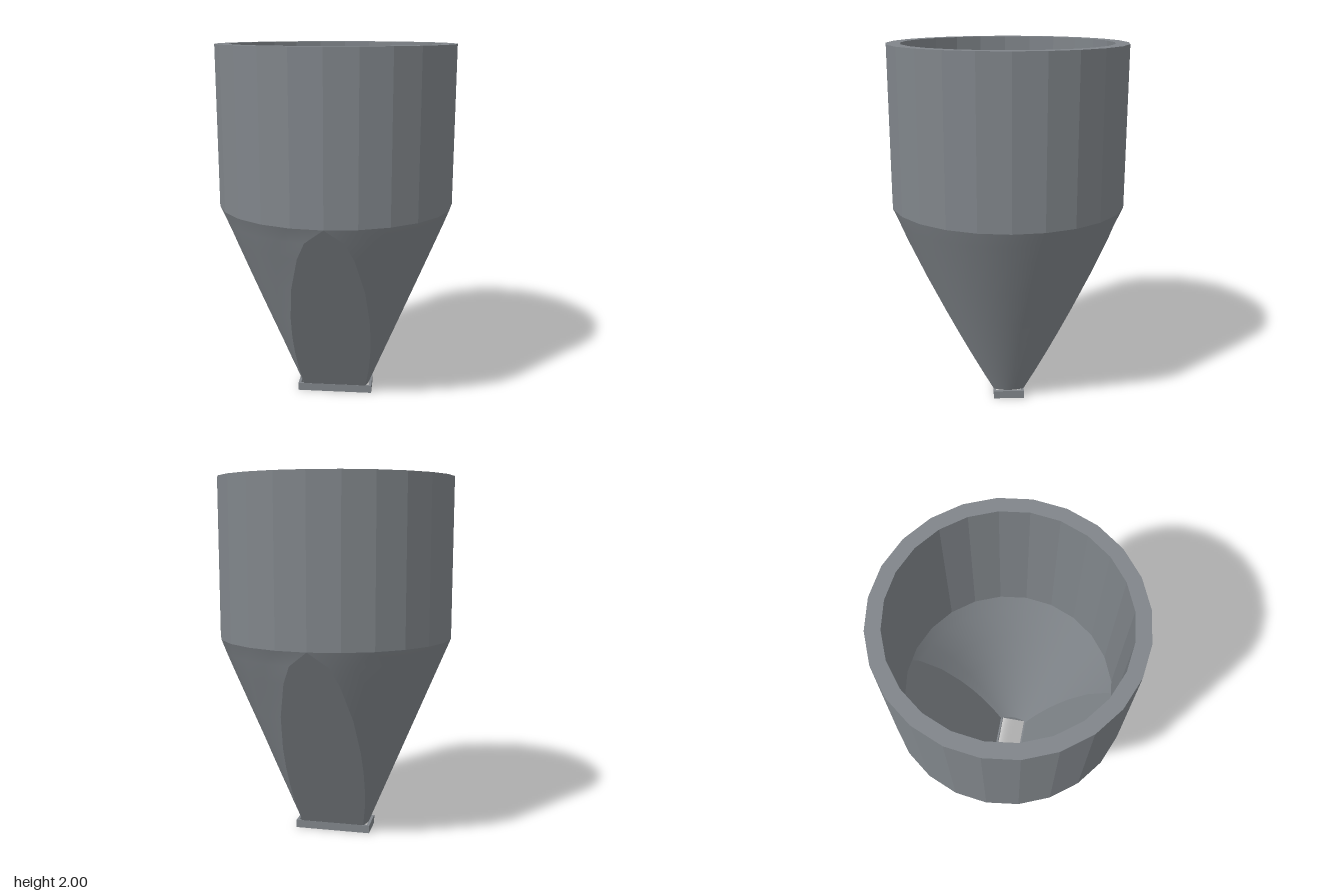
import * as THREE from 'three';

const TOP = 2, SHOULDER = 1.13, NECK = 0.045;
const R = 0.648, WALL = 0.075;
const NECK_R = 0.2, NECK_Z = 0.086;

// Cross-section of the hopper: a circle cut off by two sloping planes
const lerp = THREE.MathUtils.lerp;
function section(y) {
  const t = (y - NECK) / (SHOULDER - NECK);
  const r = lerp(NECK_R, R, t);
  const z = Math.min(r, lerp(NECK_Z, R, t));
  return { r, z, angle: Math.asin(z / r), halfWidth: Math.sqrt(r * r - z * z) };
}

// Surface swept over the hopper levels; point(s, u) with u running 0 to 1
function panel(segments, point) {
  const levels = [NECK, 0.17, 0.3, 0.42, 0.55, 0.75, 0.95, 1.05, SHOULDER];
  const positions = [], index = [], n = segments + 1;
  levels.forEach((y, j) => {
    const s = section(y);
    for (let i = 0; i <= segments; i++) {
      const [x, z] = point(s, i / segments);
      positions.push(x, y, z);
      if (j < levels.length - 1 && i < segments) {
        const a = j * n + i;
        index.push(a, a + n, a + 1, a + 1, a + n, a + n + 1);
      }
    }
  });
  const g = new THREE.BufferGeometry();
  g.setAttribute('position', new THREE.Float32BufferAttribute(positions, 3));
  g.setIndex(index);
  g.computeVertexNormals();
  return g;
}

function rectangle(path, x, z) {
  path.moveTo(-x, -z).lineTo(x, -z).lineTo(x, z).lineTo(-x, z).closePath();
  return path;
}

export function createModel() {
  const model = new THREE.Group();
  model.name = 'hopper';
  const steel = new THREE.MeshStandardMaterial({ color: 0x80858a, side: THREE.DoubleSide });
  steel.name = 'greySteel';
  const add = (name, geometry) => {
    const mesh = new THREE.Mesh(geometry, steel);
    mesh.name = name;
    model.add(mesh);
    return mesh;
  };

  // Thick-walled faceted drum
  const profile = [
    [R - WALL, SHOULDER], [R, SHOULDER], [R, TOP], [R - WALL, TOP], [R - WALL, SHOULDER],
  ].map(([x, y]) => new THREE.Vector2(x, y));
  const drum = new THREE.LatheGeometry(profile, 24).toNonIndexed();
  drum.computeVertexNormals();
  add('drum', drum);

  // Thin conical sides and flat sloping faces
  const side = panel(12, (s, u) => {
    const a = lerp(-s.angle, s.angle, u);
    return [s.r * Math.cos(a), s.r * Math.sin(a)];
  });
  const flat = panel(1, (s, u) => [lerp(s.halfWidth, -s.halfWidth, u), s.z]);
  add('leftCone', side);
  add('rightCone', side).rotation.y = Math.PI;
  add('frontSlope', flat);
  add('backSlope', flat).rotation.y = Math.PI;

  // Rectangular outlet frame
  const outline = rectangle(new THREE.Shape(), 0.215, 0.087);
  outline.holes.push(rectangle(new THREE.Path(), 0.2, 0.075));
  const frame = new THREE.ExtrudeGeometry(outline, { depth: NECK, bevelEnabled: false });
  frame.rotateX(-Math.PI / 2);
  add('outletFrame', frame);

  return model;
}
